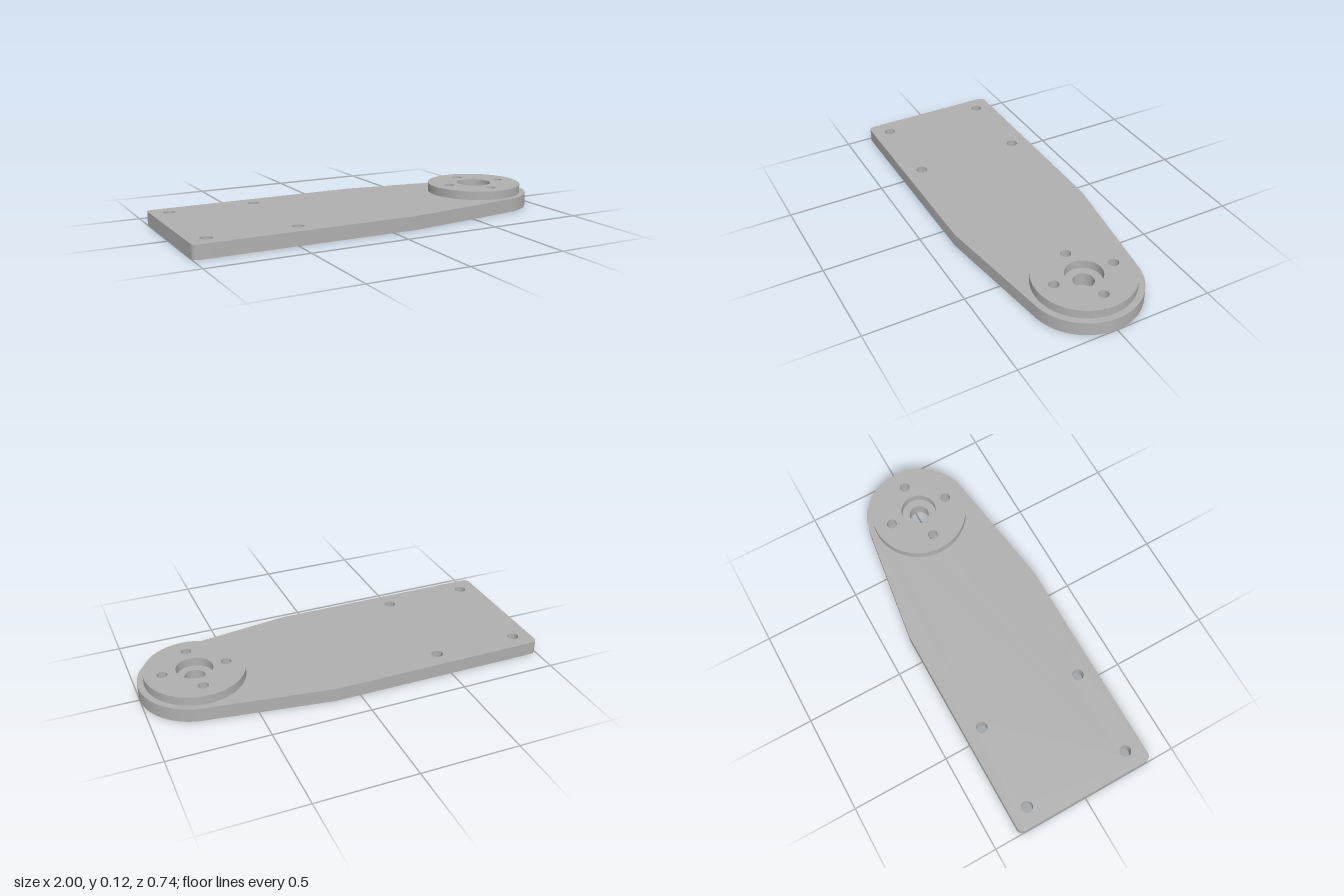
import * as THREE from 'three';
import { toCreasedNormals } from 'three/addons/utils/BufferGeometryUtils.js';

const PLATE_H = 0.07, FLANGE_H = 0.045;
const HALF_W = 0.368, HUB_X = 0.72, HUB_R = 0.28, BOLT_R = 0.16;

function drill(shape, x, y, r) {
  const hole = new THREE.Path();
  hole.absarc(x, y, r, 0, Math.PI * 2, true);
  shape.holes.push(hole);
}

// Four bolt holes around the hub
function drillRing(shape, r) {
  for (let i = 0; i < 4; i++) {
    const a = i * Math.PI / 2;
    drill(shape, HUB_X + BOLT_R * Math.cos(a), BOLT_R * Math.sin(a), r);
  }
}

// Extrude a plan outline upwards, with smooth curved walls and sharp rims
function slab(name, shape, height, y, material) {
  const raw = new THREE.ExtrudeGeometry(shape, { depth: height, bevelEnabled: false, curveSegments: 40 });
  raw.rotateX(-Math.PI / 2);
  const mesh = new THREE.Mesh(toCreasedNormals(raw, 0.5), material);
  mesh.name = name;
  mesh.position.y = y;
  return mesh;
}

export function createModel() {
  const metal = new THREE.MeshStandardMaterial({ color: 0xb0b0b0 });
  metal.name = 'grey metal';
  const model = new THREE.Group();
  model.name = 'mountingArm';

  // Tapered plate: small corner fillets, sides tangent to the round end
  const shoulderX = 0.13, fillet = 0.03;
  const dx = shoulderX - HUB_X;
  const tangent = Math.atan2(HALF_W, dx) - Math.acos(HUB_R / Math.hypot(dx, HALF_W));
  const plate = new THREE.Shape();
  plate.moveTo(-1 + fillet, -HALF_W);
  plate.lineTo(shoulderX, -HALF_W);
  plate.absarc(HUB_X, 0, HUB_R, -tangent, tangent, false);
  plate.lineTo(shoulderX, HALF_W);
  plate.absarc(-1 + fillet, HALF_W - fillet, fillet, Math.PI / 2, Math.PI, false);
  plate.absarc(-1 + fillet, -HALF_W + fillet, fillet, Math.PI, Math.PI * 1.5, false);
  for (const x of [-0.907, -0.463]) {
    for (const side of [-1, 1]) drill(plate, x, side * 0.277, 0.029);
  }
  // Shaft hole and wide bolt-head recesses under the flange
  drill(plate, HUB_X, 0, 0.051);
  drillRing(plate, 0.046);
  model.add(slab('armPlate', plate, PLATE_H, 0, metal));

  // Raised round flange with a wide centre bore and narrow bolt holes
  const flange = new THREE.Shape();
  flange.absarc(HUB_X, 0, 0.249, 0, Math.PI * 2, false);
  drill(flange, HUB_X, 0, 0.091);
  drillRing(flange, 0.026);
  model.add(slab('hubFlange', flange, FLANGE_H, PLATE_H, metal));

  return model;
}
